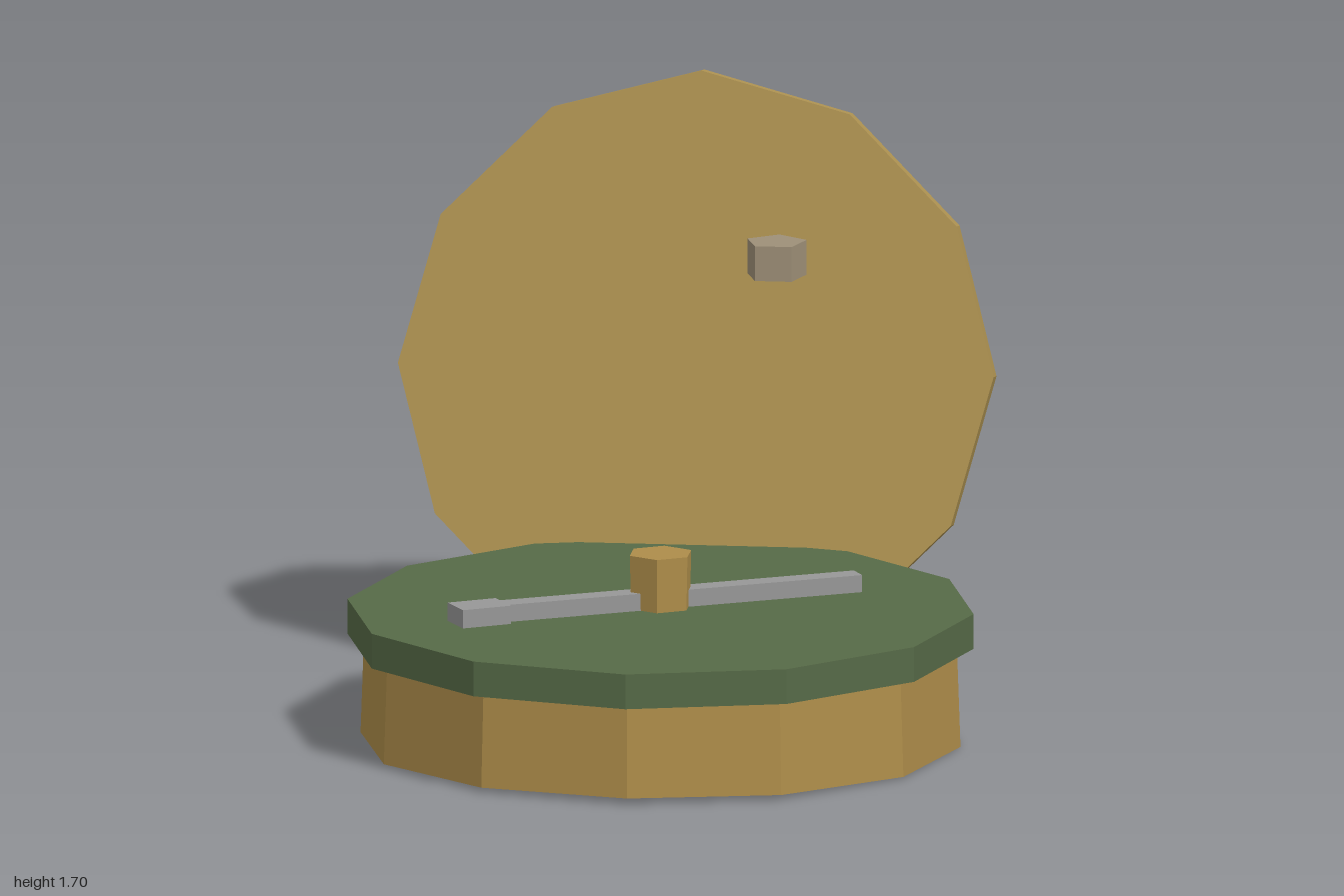
import * as THREE from 'three';

const mat = (name, color) => {
  const m = new THREE.MeshStandardMaterial({ color, flatShading: true });
  m.name = name;
  return m;
};

export function createModel() {
  const root = new THREE.Group();
  root.name = 'openCompass';
  const brass = mat('brass', 0xae8d4a);
  const lidBrass = mat('lidBrass', 0xb09452);
  const green = mat('green', 0x566a47);
  const steel = mat('steel', 0x979797);
  const pewter = mat('pewter', 0x9e9078);

  const add = (name, geo, material, x, y, z) => {
    const mesh = new THREE.Mesh(geo, material);
    mesh.name = name;
    mesh.position.set(x, y, z);
    root.add(mesh);
    return mesh;
  };
  const prism = (rTop, rBottom, h, sides, start = 0) =>
    new THREE.CylinderGeometry(rTop, rBottom, h, sides, 1, false, start);

  const cz = 0.105; // centre of the case, in front of the lid

  // Case: twelve-sided, slightly flared, underside lifting a little at the front
  const caseGeo = prism(0.838, 0.848, 0.285, 12);
  const p = caseGeo.attributes.position;
  for (let i = 0; i < p.count; i++) {
    if (p.getY(i) < 0) {
      const f = Math.max(0, p.getZ(i)) / 0.85;
      p.setY(i, p.getY(i) + 0.018 * f * f);
    }
  }
  caseGeo.computeVertexNormals();
  add('case', caseGeo, brass, 0, 0.1425, cz);

  // Dial plate
  add('dial', prism(0.885, 0.885, 0.1, 12), green, 0, 0.333, cz);

  // Centre pivot
  add('pivot', prism(0.094, 0.09, 0.17, 6), brass, 0, 0.452, cz);

  // Needle bar and its wider tail block
  const bar = add('needle', new THREE.BoxGeometry(1.19, 0.07, 0.065), steel, 0, 0.397, cz);
  bar.rotation.y = THREE.MathUtils.degToRad(27.6);
  const tail = add('needleTail', new THREE.BoxGeometry(0.147, 0.075, 0.108), steel, -0.483, 0.398, 0.367);
  tail.rotation.y = THREE.MathUtils.degToRad(30);

  // Lid: open, leaning back ten degrees
  const lid = add('lid', prism(0.842, 0.842, 0.075, 12), lidBrass, 0, 0.861, -0.816);
  lid.rotation.x = Math.PI / 2 - THREE.MathUtils.degToRad(10);

  // Hinge block behind the lid
  add('hinge', new THREE.BoxGeometry(0.23, 0.2, 0.15), brass, 0, 0.175, -0.76);

  // Small five-sided stud in front of the lid
  add('stud', prism(0.088, 0.088, 0.1, 5, Math.PI), pewter, 0.24, 1.22, -0.662);

  return root;
}
